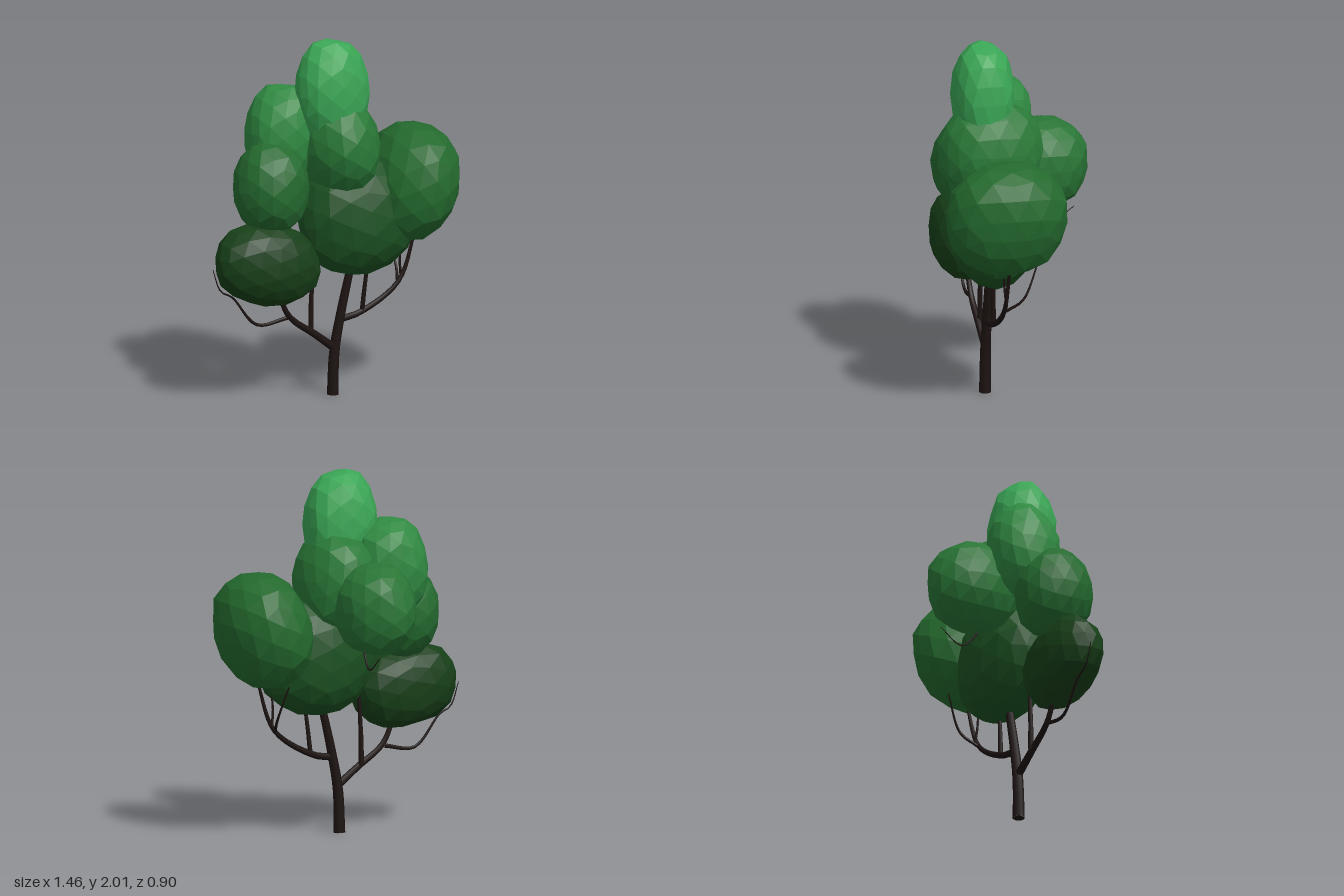
import * as THREE from 'three';

// Faceted, slightly irregular ellipsoid of leaves
function leafClump([x, y, z], [rx, ry, rz], tilt, color, seed) {
  const geo = new THREE.IcosahedronGeometry(1, 2);
  const pos = geo.attributes.position;
  const v = new THREE.Vector3();
  for (let i = 0; i < pos.count; i++) {
    v.fromBufferAttribute(pos, i);
    const bump = Math.sin(v.x * 4.1 + seed) * Math.sin(v.y * 3.7 + seed * 2) * Math.sin(v.z * 4.3 + seed * 3);
    // slightly boxier than a sphere
    const full = 1.02 + 0.09 * (1 - v.x ** 4 - v.y ** 4 - v.z ** 4);
    v.multiplyScalar(full + 0.05 * bump);
    pos.setXYZ(i, v.x * rx, v.y * ry, v.z * rz);
  }
  geo.rotateZ(tilt);
  geo.computeVertexNormals();
  const mesh = new THREE.Mesh(geo, new THREE.MeshStandardMaterial({ color, flatShading: true }));
  mesh.position.set(x, y, z);
  return mesh;
}

// Tube along a smooth x-y path, with depth running from z0 to z1 and radius from r0 to r1
function branch(path, [z0, z1], [r0, r1], material) {
  const { lerp } = THREE.MathUtils;
  const curve = new THREE.CatmullRomCurve3(
    path.map(([x, y], i) => new THREE.Vector3(x, y, lerp(z0, z1, i / (path.length - 1))))
  );
  const rings = path.length * 4, sides = 8;
  const geo = new THREE.TubeGeometry(curve, rings, 1, sides, false);
  const pos = geo.attributes.position;
  const v = new THREE.Vector3();
  for (let i = 0; i <= rings; i++) {
    const c = curve.getPointAt(i / rings);
    const r = lerp(r0, r1, i / rings);
    for (let j = 0; j <= sides; j++) {
      const k = i * (sides + 1) + j;
      v.fromBufferAttribute(pos, k).sub(c).multiplyScalar(r).add(c);
      pos.setXYZ(k, v.x, v.y, v.z);
    }
  }
  return new THREE.Mesh(geo, material);
}

export function createModel() {
  const tree = new THREE.Group();
  tree.name = 'tree';

  // Foliage: name, centre, radii, tilt, colour
  const foliage = new THREE.Group();
  foliage.name = 'foliage';
  const clumps = [
    ['crownTop', [0, 1.7, 0.14], [0.2, 0.3, 0.17], 0, 0x3aa655],
    ['crownMiddle', [0.05, 1.4, 0.1], [0.21, 0.28, 0.28], 0.1, 0x2a7a38],
    ['upperRightClump', [-0.24, 1.47, 0.01], [0.2, 0.27, 0.19], -0.1, 0x308a42],
    ['middleRightClump', [-0.36, 1.2, 0.13], [0.2, 0.25, 0.21], 0, 0x256b30],
    ['lowerRightClump', [-0.4, 0.78, 0.17], [0.3, 0.22, 0.17], -0.2, 0x173f18],
    ['backClump', [-0.05, 1.28, -0.2], [0.21, 0.25, 0.25], 0, 0x297536],
    ['centreClump', [0.16, 0.99, 0.12], [0.33, 0.32, 0.22], 0.1, 0x1c5122],
    ['leftClump', [0.48, 1.15, 0.11], [0.24, 0.32, 0.33], -0.25, 0x246a2e],
  ];
  clumps.forEach(([name, centre, radii, tilt, color], i) => {
    const mesh = leafClump(centre, radii, tilt, color, i * 1.7 + 0.6);
    mesh.name = name;
    foliage.add(mesh);
  });
  tree.add(foliage);

  const bark = new THREE.MeshStandardMaterial({ color: 0x1c1311 });
  const wood = new THREE.Group();
  wood.name = 'wood';
  const addLimb = (name, path, depth, radii) => {
    const mesh = branch(path, depth, radii, bark);
    mesh.name = name;
    wood.add(mesh);
  };

  // Trunk with a flat cap underneath
  addLimb('trunk', [[0.01, 0], [0.02, 0.24], [0.06, 0.46], [0.12, 0.72]], [0.13, 0.13], [0.034, 0.022]);
  const base = new THREE.Mesh(new THREE.CircleGeometry(0.034, 8).rotateX(Math.PI / 2), bark);
  base.name = 'trunkBase';
  base.position.set(0.01, 0, 0.13);
  wood.add(base);

  // Limb, sprig and twig on the right
  addLimb('rightLimb', [[0.02, 0.26], [-0.1, 0.35], [-0.26, 0.47], [-0.34, 0.65]], [0.13, 0.16], [0.023, 0.012]);
  addLimb('rightSprig', [[-0.12, 0.36], [-0.12, 0.5], [-0.1, 0.85]], [0.13, 0.13], [0.016, 0.009]);
  addLimb('rightTwig', [[-0.26, 0.46], [-0.45, 0.44], [-0.6, 0.61], [-0.67, 0.65], [-0.72, 0.78]], [0.14, 0.16], [0.012, 0.002]);

  // Limb, sprig and twigs on the left
  addLimb('leftLimb', [[0.06, 0.42], [0.17, 0.44], [0.41, 0.59], [0.52, 0.88]], [0.13, 0.1], [0.02, 0.008]);
  addLimb('leftSprig', [[0.19, 0.45], [0.2, 0.56], [0.23, 0.8]], [0.12, 0.13], [0.014, 0.009]);
  addLimb('leftBackTwig', [[0.41, 0.59], [0.44, 0.66], [0.41, 0.86]], [0.1, -0.08], [0.009, 0.004]);
  addLimb('leftOuterTwig', [[0.43, 0.62], [0.42, 0.72], [0.44, 0.88]], [0.1, 0.12], [0.008, 0.004]);

  // Thin twig curling out under the back clump
  addLimb('backTwig', [[-0.02, 1.1], [0, 0.95], [0, 1.03]], [-0.1, -0.37], [0.008, 0.002]);

  tree.add(wood);
  return tree;
}
